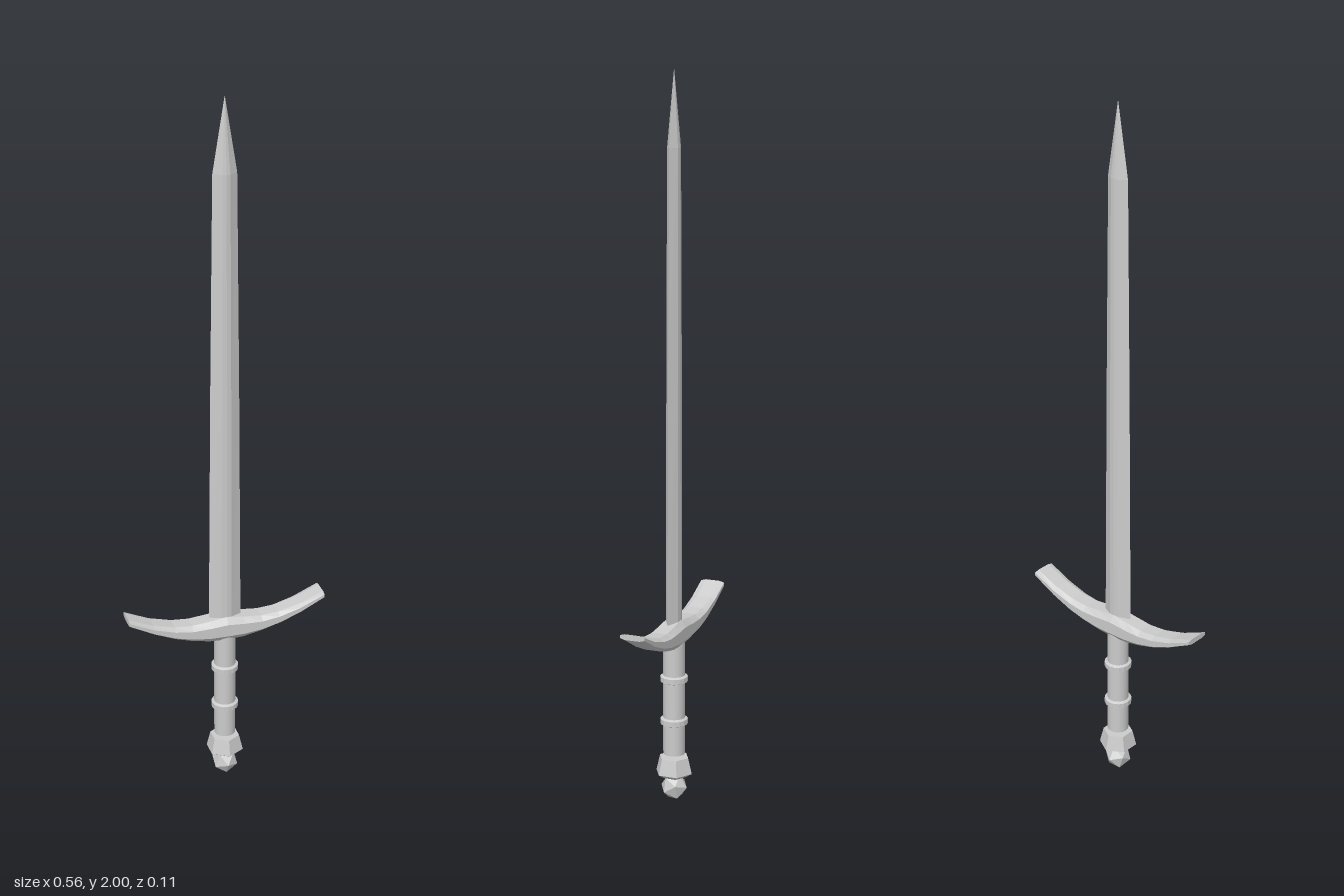
import * as THREE from 'three';

const material = new THREE.MeshStandardMaterial({ color: 0xcccccc, flatShading: true });
const smooth = new THREE.MeshStandardMaterial({ color: 0xcccccc });

// Skin a list of closed rings (arrays of [x, y, z]) and cap both ends.
function loft(rings) {
  const n = rings[0].length, index = [];
  for (let i = 0; i < rings.length - 1; i++) {
    for (let j = 0; j < n; j++) {
      const k = (j + 1) % n;
      const a = i * n + j, b = i * n + k, c = a + n, d = b + n;
      index.push(a, c, b, b, c, d);
    }
  }
  const last = (rings.length - 1) * n;
  for (let j = 1; j < n - 1; j++) {
    index.push(0, j, j + 1, last, last + j + 1, last + j);
  }
  const geometry = new THREE.BufferGeometry();
  geometry.setAttribute('position', new THREE.Float32BufferAttribute(rings.flat(2), 3));
  geometry.setIndex(index);
  geometry.computeVertexNormals();
  return geometry;
}

export function createModel() {
  const model = new THREE.Group();
  const add = (name, geometry, mat = material, y = 0) => {
    const mesh = new THREE.Mesh(geometry, mat);
    mesh.name = name;
    mesh.position.y = y;
    model.add(mesh);
    return mesh;
  };

  // Blade: flattened, ridged section tapering to a point [y, half width, half thickness]
  const stations = [
    [0.48, 0.046, 0.02], [1.2, 0.04, 0.019], [1.8, 0.033, 0.017], [2, 0.0005, 0.0005],
  ];
  add('blade', loft(stations.map(([y, w, t]) => {
    const r = w * 0.32;
    return [[w, y, 0], [r, y, -t * 0.9], [0, y, -t], [-r, y, -t * 0.9],
      [-w, y, 0], [-r, y, t * 0.9], [0, y, t], [r, y, t * 0.9]].reverse();
  })));

  // Crossguard: upswept crescent with bevelled sides [x, bottom, top]
  const half = [
    [0, 0.448, 0.52], [0.05, 0.451, 0.514], [0.1, 0.461, 0.509], [0.15, 0.476, 0.513],
    [0.21, 0.502, 0.528], [0.281, 0.541, 0.557],
  ];
  const profile = [...half.slice(1).reverse().map(([x, b, t]) => [-x, b, t]), ...half];
  add('crossguard', loft(profile.map(([x, b, t]) => {
    const m = (b + t) / 2, h = (t - b) * 0.25;
    return [[x, t, 0.021], [x, m + h, 0.035], [x, m - h, 0.035], [x, b, 0.021],
      [x, b, -0.021], [x, m - h, -0.035], [x, m + h, -0.035], [x, t, -0.021]].reverse();
  })));

  // Grip with two raised bands
  add('grip', new THREE.CylinderGeometry(0.03, 0.03, 0.325, 16), smooth, 0.2975);
  for (const y of [0.23, 0.352]) {
    const band = [[0.029, -0.011], [0.038, -0.007], [0.038, 0.007], [0.029, 0.011]];
    add('gripBand', new THREE.LatheGeometry(band.map(([r, h]) => new THREE.Vector2(r, h)), 16), material, y);
  }

  // Six-sided pommel collar, widest near its lower edge
  add('pommelCollar', new THREE.CylinderGeometry(0.042, 0.053, 0.045, 6), material, 0.103);
  add('pommelCollarBase', new THREE.CylinderGeometry(0.053, 0.034, 0.012, 6), material, 0.0745);

  // Faceted knob at the foot
  add('pommelKnob', new THREE.IcosahedronGeometry(0.038, 0), material, 0.04)
    .geometry.rotateX(Math.atan((Math.sqrt(5) - 1) / 2)).translate(0, -0.002, 0);

  return model;
}
